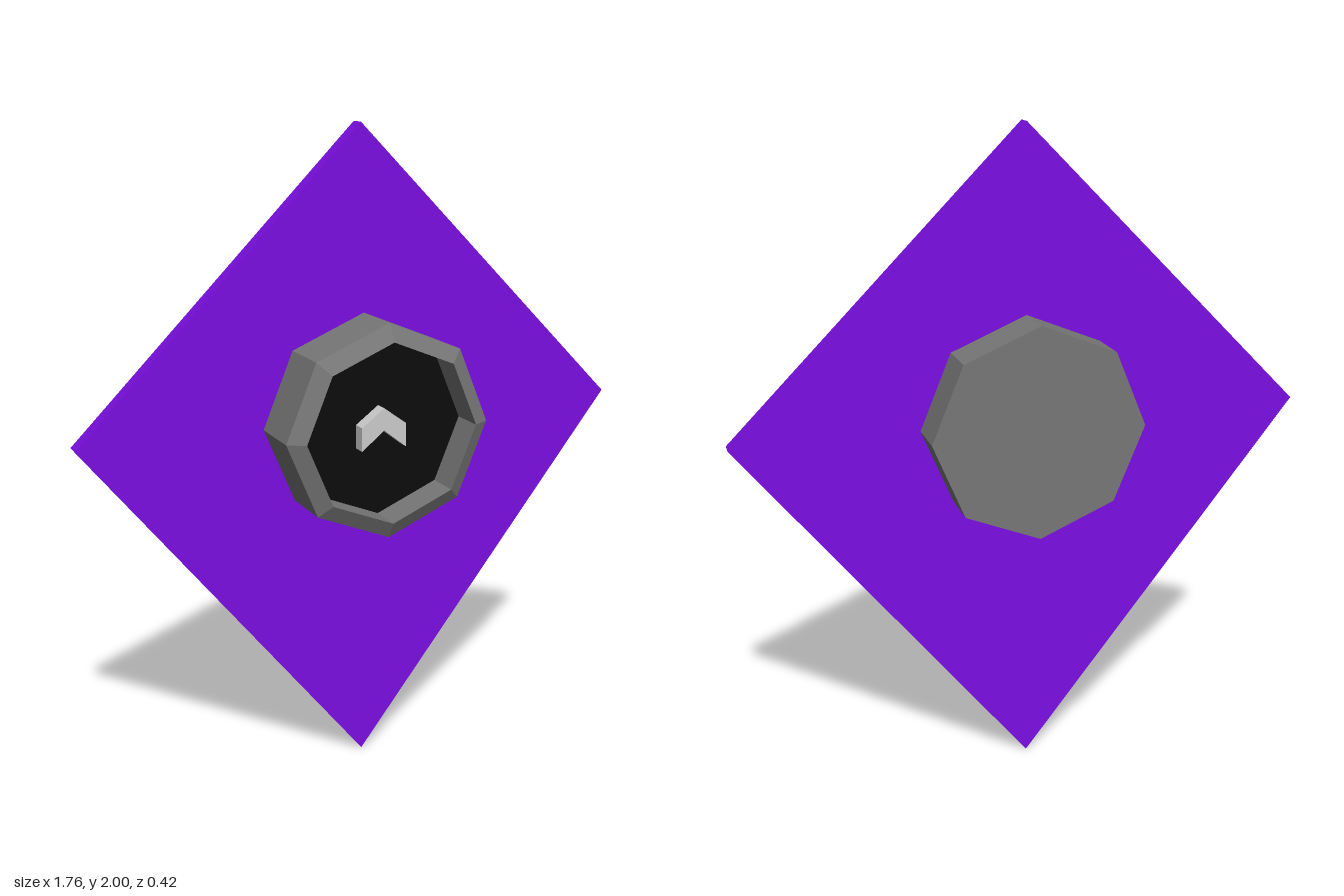
import * as THREE from 'three';

const CENTRE_Y = 1.125;

function material(color) {
  return new THREE.MeshStandardMaterial({ color, flatShading: true });
}

// Flat outline in x/y, extruded between two z positions
function slab(name, points, z0, z1, mat) {
  const shape = new THREE.Shape(points.map(([x, y]) => new THREE.Vector2(x, y)));
  const geo = new THREE.ExtrudeGeometry(shape, { depth: z1 - z0, bevelEnabled: false });
  geo.translate(0, 0, z0);
  const mesh = new THREE.Mesh(geo, mat);
  mesh.name = name;
  return mesh;
}

// Eight-sided turned part around the z axis; profile is [radius, z] from back to front
function octagonal(name, profile, mat) {
  const geo = new THREE.LatheGeometry(profile.map(([r, z]) => new THREE.Vector2(r, z)), 8);
  geo.rotateX(Math.PI / 2);
  const mesh = new THREE.Mesh(geo, mat);
  mesh.name = name;
  mesh.position.y = CENTRE_Y;
  return mesh;
}

export function createModel() {
  const model = new THREE.Group();
  model.name = 'kiteBadge';

  const purple = material(0x7a0ee2);
  const grey = material(0x777777);
  const black = material(0x0c0c0c);
  const light = material(0xcccccc);

  // Kite-shaped plate
  model.add(slab('kitePlate', [[0, 0], [0.88, 1.12], [0, 2], [-0.88, 1.12]], -0.07, -0.02, purple));

  // Solid back cap
  model.add(octagonal('backCap', [[0, -0.21], [0.325, -0.21], [0.325, -0.07], [0, -0.07]], grey));

  // Narrow neck through the plate
  model.add(octagonal('neck', [[0.295, -0.07], [0.295, 0]], grey));

  // Front housing with bevelled rim and hollow face
  model.add(octagonal('frontHousing',
    [[0, 0], [0.325, 0], [0.325, 0.178], [0.273, 0.208], [0.273, 0.1]], grey));

  // Dark recessed dial
  const dial = new THREE.Mesh(new THREE.CircleGeometry(0.273, 8), black);
  dial.name = 'dial';
  dial.position.set(0, CENTRE_Y, 0.1);
  model.add(dial);

  // Raised chevron pointer
  const chevron = slab('chevron',
    [[-0.072, -0.06], [0, -0.003], [0.072, -0.06], [0.072, 0.012], [0, 0.065], [-0.072, 0.012]],
    0.1, 0.143, light);
  chevron.position.y = CENTRE_Y;
  model.add(chevron);

  return model;
}
